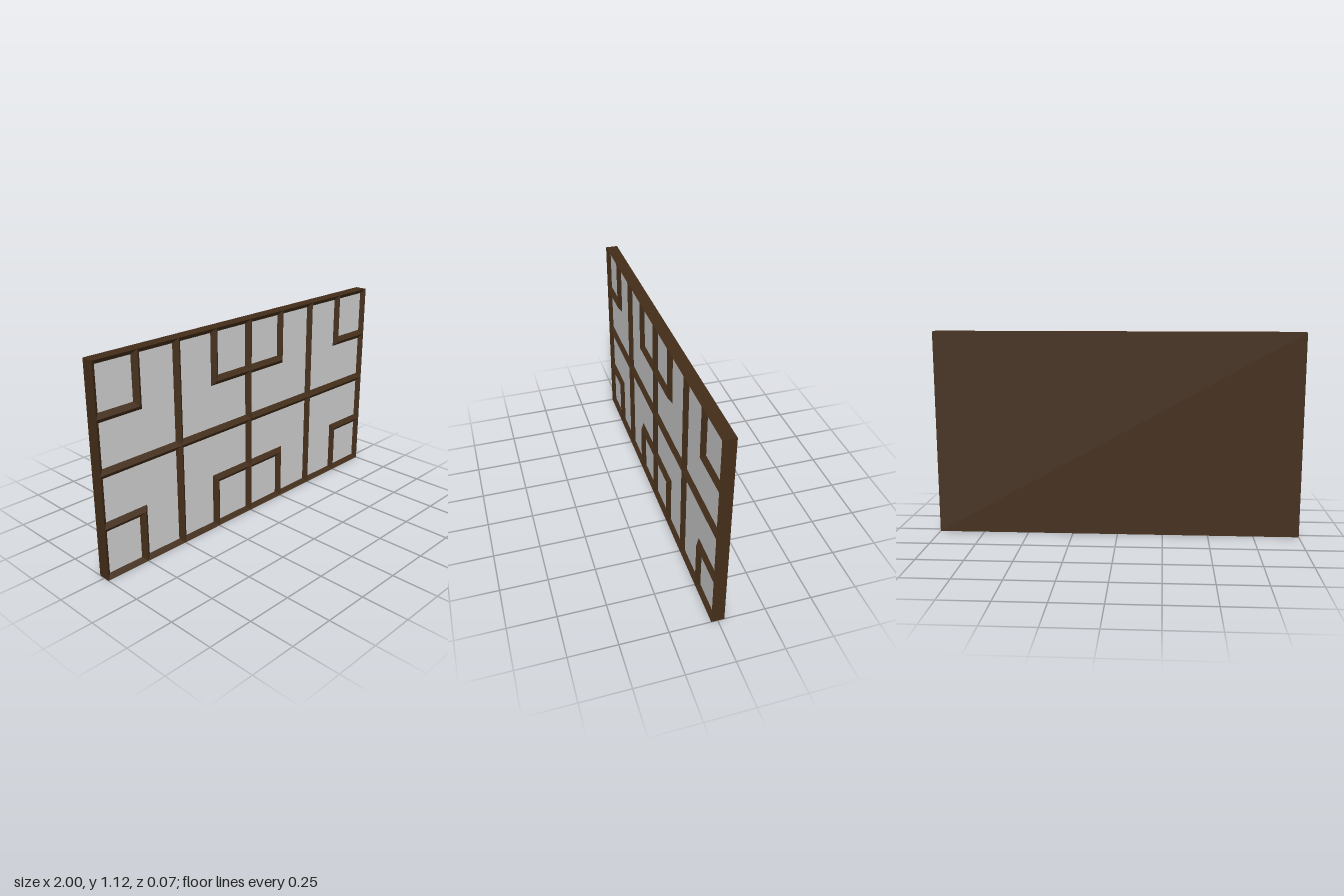
import * as THREE from 'three';

const W = 2, H = 1.12, FRONT = 0.034, FLOOR = 0.013, BEVEL = 0.025;
const wood = new THREE.MeshStandardMaterial({ color: 0x432d19 });
const grey = new THREE.MeshStandardMaterial({ color: 0xcccccc });

// Moves every corner of a counter-clockwise right-angled outline inward
function inset(points, d) {
  const n = points.length;
  return points.map((p, i) => {
    const a = p.clone().sub(points[(i + n - 1) % n]).normalize();
    const b = points[(i + 1) % n].clone().sub(p).normalize();
    return new THREE.Vector2(p.x - (a.y + b.y) * d, p.y + (a.x + b.x) * d);
  });
}

// Mitred slope running from the ridge outline down to the recessed panel
function slopeGeometry(outer, inner) {
  const pos = [];
  outer.forEach((a, i) => {
    const j = (i + 1) % outer.length;
    const b = outer[j], A = inner[i], B = inner[j];
    pos.push(a.x, a.y, FRONT, b.x, b.y, FRONT, B.x, B.y, FLOOR);
    pos.push(a.x, a.y, FRONT, B.x, B.y, FLOOR, A.x, A.y, FLOOR);
  });
  const g = new THREE.BufferGeometry();
  g.setAttribute('position', new THREE.Float32BufferAttribute(pos, 3));
  g.computeVertexNormals();
  return g;
}

// One recessed pane with its sloped surround
function pane(name, outline) {
  const group = new THREE.Group();
  group.name = name;
  const inner = inset(outline, BEVEL);
  const slope = new THREE.Mesh(slopeGeometry(outline, inner), wood);
  slope.name = name + 'Moulding';
  const panel = new THREE.Mesh(new THREE.ShapeGeometry(new THREE.Shape(inner)), grey);
  panel.name = name + 'Panel';
  panel.position.z = FLOOR;
  group.add(slope, panel);
  return group;
}

export function createModel() {
  const model = new THREE.Group();
  model.name = 'latticePanel';

  // Back and edges: a box without its front face
  const box = new THREE.BoxGeometry(W, H, FRONT * 2);
  const index = Array.from(box.index.array);
  box.setIndex([...index.slice(0, 24), ...index.slice(30)]);
  box.clearGroups();
  const body = new THREE.Mesh(box, wood);
  body.name = 'backBoard';
  body.position.y = H / 2;
  model.add(body);

  // Each tile holds a small square in one corner and an L around it
  const w = W / 4, h = H / 2, u = w / 2, v = h / 2;
  const square = [[0, 0], [u, 0], [u, v], [0, v]];
  const ell = [[u, 0], [w, 0], [w, h], [0, h], [0, v], [u, v]];

  for (const [x0, sx] of [[-1, 1], [0, -1], [0, 1], [1, -1]]) {
    for (const [y0, sy] of [[0, 1], [H, -1]]) {
      const place = (pts) => {
        const out = pts.map(([x, y]) => new THREE.Vector2(x0 + sx * x, y0 + sy * y));
        return sx * sy < 0 ? out.reverse() : out;
      };
      model.add(pane('cornerSquare', place(square)), pane('angledPane', place(ell)));
    }
  }
  return model;
}
